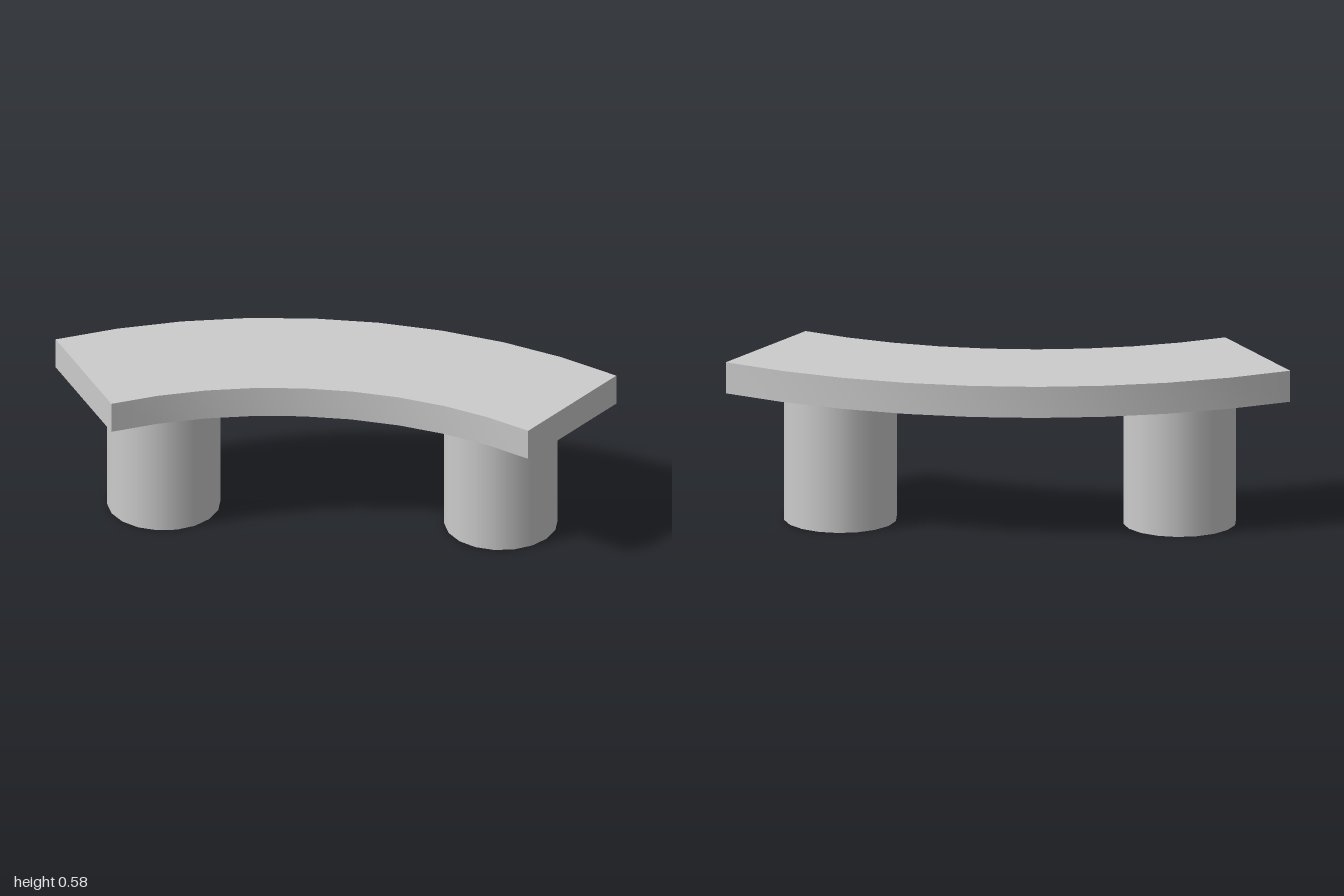
import * as THREE from 'three';
import { toCreasedNormals } from 'three/addons/utils/BufferGeometryUtils.js';

const SEAT_TOP = 0.585, SEAT_BOTTOM = 0.471;
const SEGMENTS = 9, HALF_ANGLE = Math.PI / 6, TURN = THREE.MathUtils.degToRad(0.7);

// Points along an arc in the ground plane, from the -x end to the +x end
function arc(radius, centreX, centreZ) {
  return Array.from({ length: SEGMENTS + 1 }, (_, i) => {
    const a = TURN - HALF_ANGLE + (2 * HALF_ANGLE * i) / SEGMENTS;
    return new THREE.Vector2(centreX + radius * Math.sin(a), centreZ - radius * Math.cos(a));
  });
}

export function createModel() {
  const group = new THREE.Group();
  const material = new THREE.MeshStandardMaterial({ color: 0xcccccc });

  // Curved slab: back arc out, front arc returning
  const outline = [...arc(2, -0.021, 1.645), ...arc(1.487, -0.023, 1.63).reverse()];
  const slab = new THREE.ExtrudeGeometry(new THREE.Shape(outline), {
    depth: SEAT_TOP - SEAT_BOTTOM,
    bevelEnabled: false,
  });
  slab.rotateX(Math.PI / 2).translate(0, SEAT_TOP, 0);
  const seat = new THREE.Mesh(toCreasedNormals(slab, 0.5), material);
  seat.name = 'seat';
  group.add(seat);

  // Two round pillars
  const pillar = new THREE.CylinderGeometry(0.201, 0.201, SEAT_BOTTOM, 18);
  for (const [name, x] of [['leftPillar', 0.597], ['rightPillar', -0.604]]) {
    const leg = new THREE.Mesh(pillar, material);
    leg.name = name;
    leg.position.set(x, SEAT_BOTTOM / 2, -0.007);
    group.add(leg);
  }
  return group;
}
